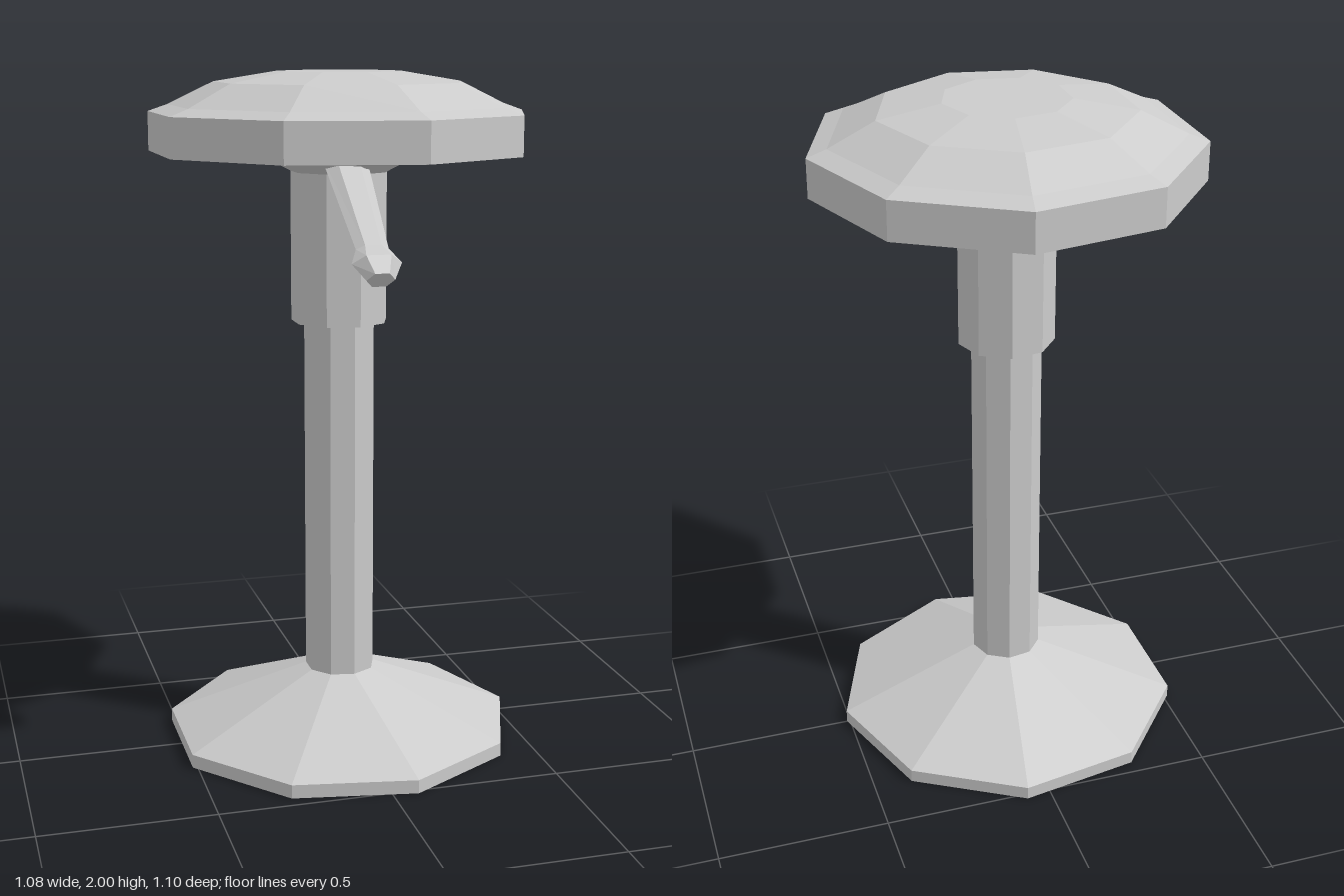
import * as THREE from 'three';

const SIDES = 9;
const AXIS_X = -0.018; // nine-sided rings point to +x, so the axis sits left of centre

function material(side = THREE.FrontSide) {
  return new THREE.MeshStandardMaterial({ color: 0xcccccc, flatShading: true, side });
}

// Nine-sided turned part from [radius, height] pairs, bottom to top
function turned(name, profile, side) {
  const points = profile.map(([r, y]) => new THREE.Vector2(r, y));
  const mesh = new THREE.Mesh(new THREE.LatheGeometry(points, SIDES, Math.PI / 2), material(side));
  mesh.name = name;
  mesh.position.x = AXIS_X;
  return mesh;
}

// Flattened hexagonal loft through stations [z, y, halfWidth, halfThickness]
function leverGeometry(stations) {
  const n = 6;
  const tilt = new THREE.Vector2(0.62, 0.78); // thickness direction in (z, y)
  const positions = [];
  const indices = [];
  for (const [z, y, w, t] of stations) {
    for (let i = 0; i < n; i++) {
      const a = (i / n) * Math.PI * 2;
      const up = (Math.sin(a) / Math.sin(Math.PI / 3)) * t;
      positions.push(Math.cos(a) * w, y + tilt.y * up, z + tilt.x * up);
    }
  }
  for (let s = 0; s < stations.length - 1; s++) {
    for (let i = 0; i < n; i++) {
      const a = s * n + i;
      const b = s * n + ((i + 1) % n);
      indices.push(a, a + n, b, b, a + n, b + n);
    }
  }
  // End cap
  const last = (stations.length - 1) * n;
  for (let i = 1; i < n - 1; i++) indices.push(last, last + i, last + i + 1);
  const geometry = new THREE.BufferGeometry();
  geometry.setAttribute('position', new THREE.Float32BufferAttribute(positions, 3));
  geometry.setIndex(indices);
  geometry.computeVertexNormals();
  return geometry;
}

export function createModel() {
  const stool = new THREE.Group();
  stool.name = 'stool';

  // Hollow conical foot with a short rim
  stool.add(turned('base', [[0.528, 0], [0.528, 0.04], [0.105, 0.21]], THREE.DoubleSide));

  // Tubular post, open at the bottom
  stool.add(turned('column', [[0.105, 0.2], [0.105, 1.72]], THREE.DoubleSide));

  // Thicker sleeve under the seat
  stool.add(turned('collar', [[0.105, 1.28], [0.143, 1.28], [0.143, 1.74]]));

  // Padded seat with a stepped underside
  stool.add(turned('seat', [
    [0, 1.715], [0.14, 1.715], [0.2, 1.745], [0.558, 1.772], [0.558, 1.885],
    [0.5, 1.905], [0.365, 1.97], [0.182, 2], [0, 2],
  ]));

  // Height lever with a flared grip
  const lever = new THREE.Mesh(leverGeometry([
    [0.09, 1.79, 0.068, 0.025],
    [0.41, 1.54, 0.046, 0.016],
    [0.455, 1.507, 0.07, 0.032],
    [0.493, 1.467, 0.04, 0.025],
  ]), material(THREE.DoubleSide));
  lever.name = 'lever';
  lever.position.x = -0.038;
  stool.add(lever);

  return stool;
}
